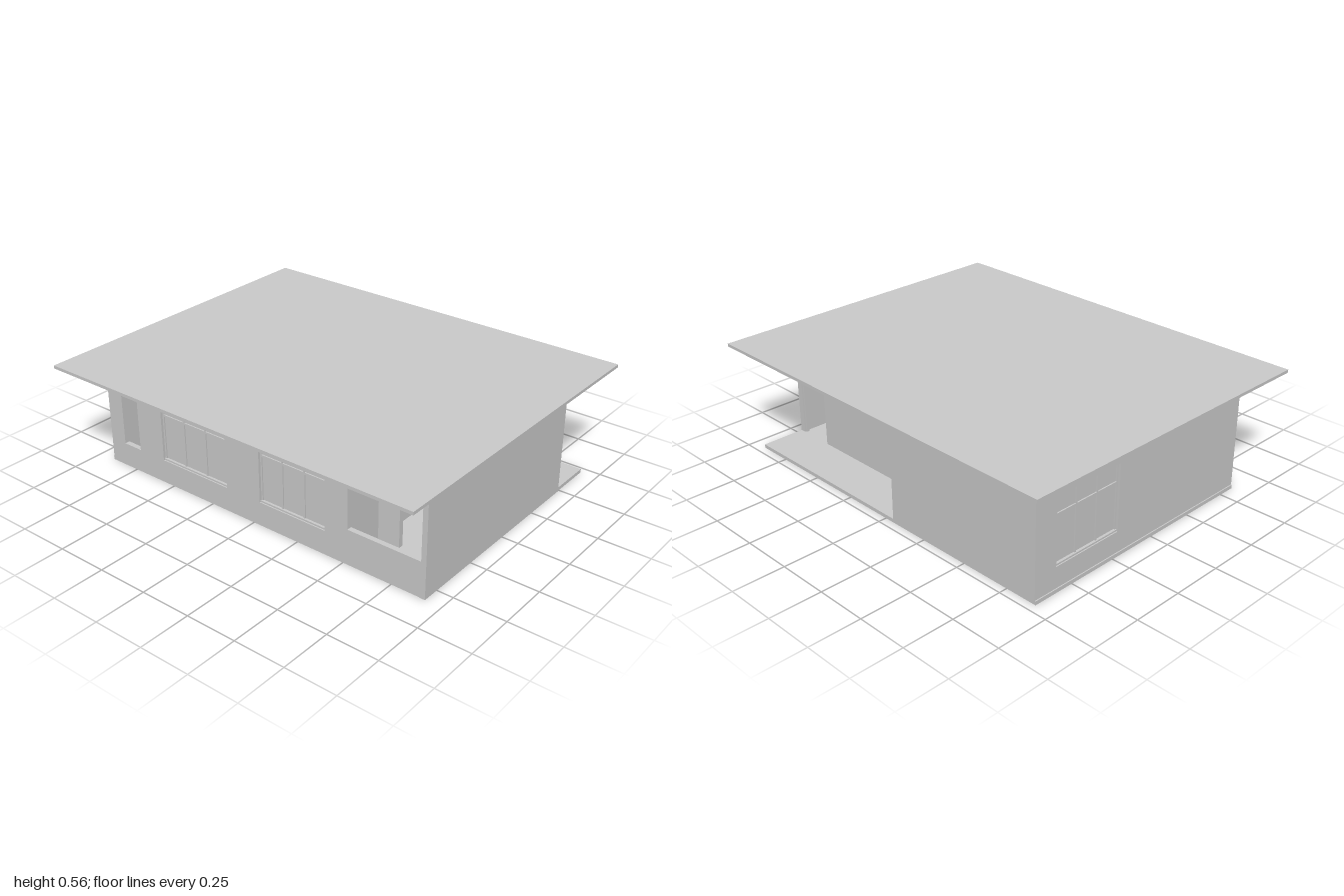
import * as THREE from 'three';

const TOP = 0.54, T = 0.025;

export function createModel() {
  const house = new THREE.Group();
  house.name = 'house';
  const mat = new THREE.MeshStandardMaterial({ color: 0xcccccc, flatShading: true });

  const add = (name, geo, parent = house) => {
    const mesh = new THREE.Mesh(geo, mat);
    mesh.name = name;
    parent.add(mesh);
    return mesh;
  };
  // Box given by its limits on each axis
  const box = (name, x0, x1, y0, y1, z0, z1, parent) => {
    const geo = new THREE.BoxGeometry(x1 - x0, y1 - y0, z1 - z0);
    geo.translate((x0 + x1) / 2, (y0 + y1) / 2, (z0 + z1) / 2);
    return add(name, geo, parent);
  };
  // Upright wall from an outline, with rectangular holes [u0, u1, y0, y1]
  const wallGeometry = (outline, holes) => {
    const shape = new THREE.Shape(outline.map(([u, y]) => new THREE.Vector2(u, y)));
    for (const [a, b, c, d] of holes) {
      shape.holes.push(new THREE.Path([[a, c], [a, d], [b, d], [b, c]].map(([u, y]) => new THREE.Vector2(u, y))));
    }
    return new THREE.ExtrudeGeometry(shape, { depth: T, bevelEnabled: false });
  };
  const rect = (u0, u1, y0 = 0.005) => [[u0, y0], [u1, y0], [u1, TOP], [u0, TOP]];
  // Wall along x, its back side at z
  const wallX = (name, outline, z, holes = []) => add(name, wallGeometry(outline, holes).translate(0, 0, z));
  // Wall along z, its left-over side at x; u runs towards -z
  const wallZ = (name, outline, x, holes = []) =>
    add(name, wallGeometry(outline, holes).rotateY(Math.PI / 2).translate(x, 0, 0));

  // Framed three-light window with a transom, drawn in a local xy plane
  const framedWindow = (name, w, y0, y1) => {
    const g = new THREE.Group();
    g.name = name;
    const f = 0.008, d = 0.006, h = w / 2;
    box('pane', -h, h, y0, y1, -0.003, 0, g);
    box('frameSide', -h, -h + f, y0, y1, -d, d, g);
    box('frameSide', h - f, h, y0, y1, -d, d, g);
    box('frameTop', -h, h, y1 - f, y1, -d, d, g);
    box('sill', -h, h, y0, y0 + f, -d, d + 0.006, g);
    box('transom', -h, h, 0.345, 0.355, -d, d, g);
    for (const s of [-1, 1]) box('mullion', s * w / 6 - f / 2, s * w / 6 + f / 2, y0, y1, -d, d, g);
    house.add(g);
    return g;
  };

  // Floor and roof slabs
  box('floor', -0.91, 0.918, 0, 0.018, -0.71, 0.583);
  box('roof', -1, 1, TOP, 0.555, -0.805, 0.805);

  // Front wall: slot window, two wide windows, and a porch parapet with an open gap above
  const frontOutline = [[-0.905, 0.005], [0.9, 0.005], [0.9, 0.175], [0.525, 0.175], [0.525, TOP], [-0.905, TOP]];
  wallX('frontWall', frontOutline, 0.585 - T, [
    [-0.815, -0.71, 0.12, 0.44],
    [-0.555, -0.155, 0.12, 0.44],
    [0.04, 0.405, 0.12, 0.435],
  ]);
  framedWindow('frontWindow', 0.4, 0.12, 0.44).position.set(-0.355, 0, 0.567);
  framedWindow('frontWindow', 0.365, 0.12, 0.435).position.set(0.2225, 0, 0.567);

  // Side walls
  wallZ('leftSideWall', rect(-0.585, 0.49, 0), 0.92 - T);
  wallZ('rightSideWall', rect(-0.583, 0.709), -0.905, [[0.22, 0.59, 0.12, 0.44]]);
  const sideWindow = framedWindow('sideWindow', 0.37, 0.12, 0.44);
  sideWindow.rotation.y = -Math.PI / 2;
  sideWindow.position.set(-0.888, 0, -0.405);

  // Projecting back room and the set-back wall of the terrace
  wallX('backWall', rect(-0.905, -0.05, 0), -0.71);
  wallZ('terraceSideWall', rect(0.465, 0.708), -0.05 - T, [[0.57, 0.68, 0.26, 0.44]]);
  const doorway = [[-0.05, 0.018], [0.71, 0.018], [0.71, 0.435], [0.89, 0.435], [0.89, 0.018], [0.919, 0.018], [0.919, TOP], [-0.05, TOP]];
  wallX('terraceWall', doorway, -0.49);

  // Terrace door frame
  for (const x of [0.71, 0.882]) box('doorFrameSide', x, x + 0.008, 0.018, 0.435, -0.483, -0.471);
  box('doorFrameTop', 0.71, 0.89, 0.427, 0.435, -0.483, -0.471);
  box('doorTransom', 0.71, 0.89, 0.335, 0.35, -0.483, -0.471);

  // Front porch back wall with its doorway, and the inner partitions
  const porchOutline = [[0.52, 0.018], [0.636, 0.018], [0.636, 0.435], [0.784, 0.435], [0.784, 0.018], [0.9, 0.018], [0.9, TOP], [0.52, TOP]];
  wallX('porchWall', porchOutline, 0.37 - T);
  wallZ('innerPartition', rect(-0.575, 0.48, 0.018), 0.525 - T);
  wallX('crossPartition', rect(0.52, 0.9, 0.018), -0.1 - T);

  return house;
}
